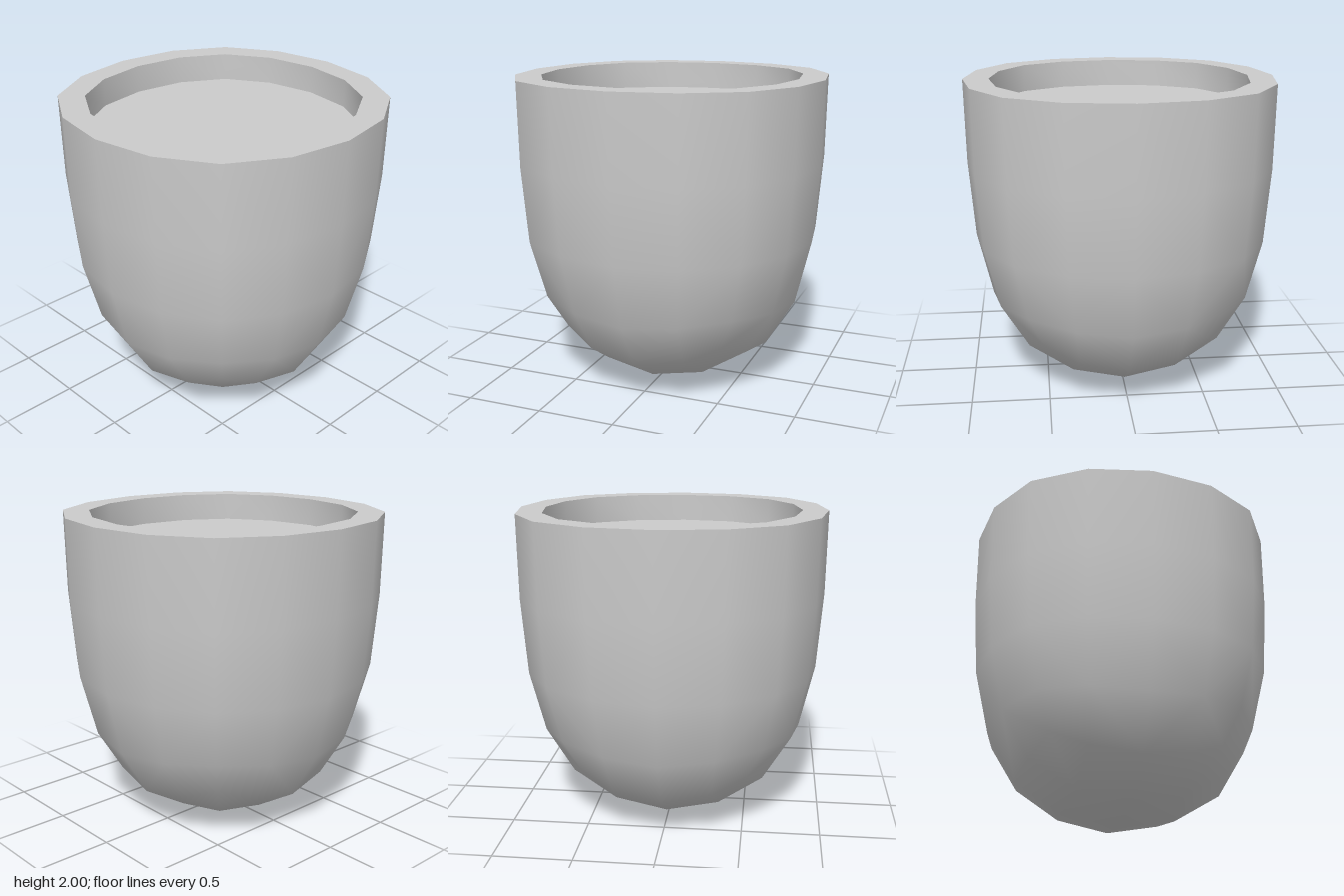
import * as THREE from 'three';

const TOP = 2, HEIGHT = 2.13, HALF_TOP = 1.061, HALF_BASE = 1.03;
const INNER = 0.835, FLOOR_Y = 1.82;

// One smoothing step on a quad mesh; open borders keep to their own curve.
function subdivide({ points, faces }) {
  const sum = list => list.reduce((s, v) => s.add(v), new THREE.Vector3());
  const mean = list => sum(list).divideScalar(list.length);
  const centres = faces.map(f => mean(f.map(i => points[i])));
  const edges = new Map();
  const key = (a, b) => Math.min(a, b) + '_' + Math.max(a, b);
  faces.forEach((f, n) => f.forEach((a, k) => {
    const b = f[(k + 1) % 4], id = key(a, b);
    if (!edges.has(id)) edges.set(id, { a, b, sides: [] });
    edges.get(id).sides.push(centres[n]);
  }));
  const list = [...edges.values()];
  const middle = e => mean([points[e.a], points[e.b]]);

  const moved = points.map((p, i) => {
    const around = list.filter(e => e.a === i || e.b === i);
    const border = around.filter(e => e.sides.length === 1);
    if (border.length) {
      return mean(border.map(middle)).add(p).multiplyScalar(0.5);
    }
    const n = around.length;
    const faceMean = mean(centres.filter((c, k) => faces[k].includes(i)));
    return faceMean.addScaledVector(mean(around.map(middle)), 2)
      .addScaledVector(p, n - 3).divideScalar(n);
  });
  const out = [...moved];
  list.forEach(e => {
    e.index = out.length;
    out.push(e.sides.length === 1 ? middle(e) : mean([points[e.a], points[e.b], ...e.sides]));
  });
  const first = out.length;
  out.push(...centres);
  const quads = faces.flatMap((f, n) => f.map((a, k) => [
    a, edges.get(key(a, f[(k + 1) % 4])).index, first + n, edges.get(key(f[(k + 3) % 4], a)).index,
  ]));
  return { points: out, faces: quads };
}

function quadGeometry(points, faces) {
  const g = new THREE.BufferGeometry().setFromPoints(points);
  g.setIndex(faces.flatMap(([a, b, c, d]) => [a, b, c, a, c, d]));
  g.computeVertexNormals();
  return g;
}

// Flat, upward-facing outline, with an optional hole
function flatGeometry(ring, y, hole) {
  const flat = r => r.map(p => new THREE.Vector2(p.x, -p.z));
  const shape = new THREE.Shape(flat(ring));
  if (hole) shape.holes.push(new THREE.Path(flat(hole)));
  return new THREE.ShapeGeometry(shape).rotateX(-Math.PI / 2).translate(0, y, 0);
}

export function createModel() {
  const group = new THREE.Group();
  const material = new THREE.MeshStandardMaterial({ color: 0xcccccc, side: THREE.DoubleSide });
  const add = (name, geometry) => {
    const mesh = new THREE.Mesh(geometry, material);
    mesh.name = name;
    group.add(mesh);
  };

  // Outer cup: an open, slightly tapered box smoothed twice
  const corners = [[-1, -1], [1, -1], [1, 1], [-1, 1]];
  const level = (half, y) => corners.map(([x, z]) => new THREE.Vector3(x * half, y, z * half));
  let cup = {
    points: [...level(HALF_BASE, TOP - HEIGHT), ...level(HALF_TOP, TOP)],
    faces: [[0, 1, 2, 3], ...[0, 1, 2, 3].map(i => [i, i + 4, (i + 1) % 4 + 4, (i + 1) % 4])],
  };
  for (let i = 0; i < 2; i++) cup = subdivide(cup);
  add('outerCup', quadGeometry(cup.points, cup.faces));

  // Rim: flat band between the cup's top edge and the recess
  const outer = cup.points.filter(p => p.y > TOP - 1e-4)
    .sort((p, q) => Math.atan2(p.z, p.x) - Math.atan2(q.z, q.x));
  const inner = outer.map(p => new THREE.Vector3(p.x * INNER, TOP, p.z * INNER));
  add('rim', flatGeometry(outer, TOP, inner));

  // Recess: short inner wall and flat floor
  const n = inner.length;
  const low = inner.map(p => new THREE.Vector3(p.x, FLOOR_Y, p.z));
  add('innerWall', quadGeometry([...inner, ...low],
    inner.map((p, i) => [i, (i + 1) % n, n + (i + 1) % n, n + i])));
  add('recessFloor', flatGeometry(low, FLOOR_Y));
  return group;
}
